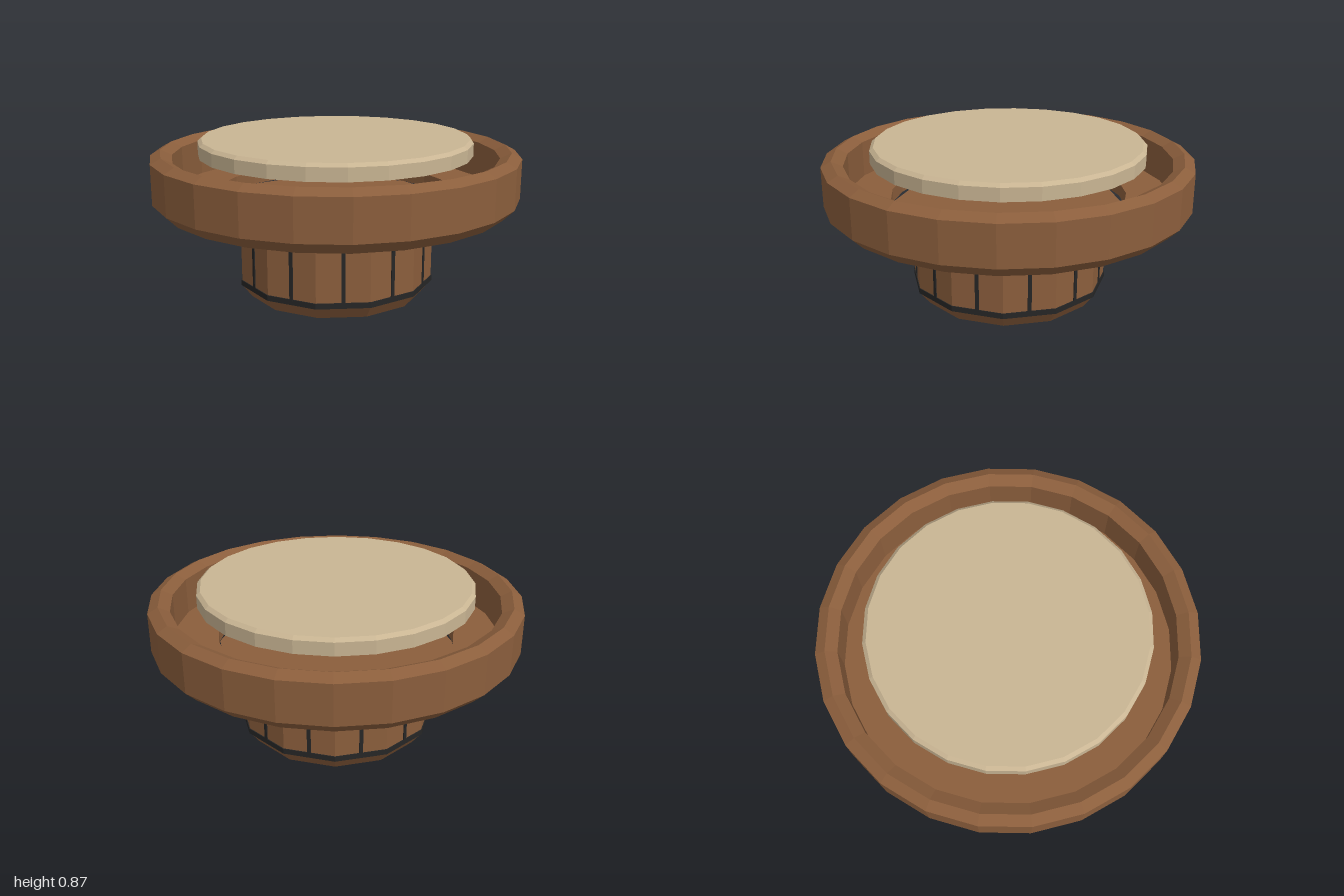
import * as THREE from 'three';

const paint = (color) => new THREE.MeshStandardMaterial({ color, flatShading: true });
const wood = paint(0x8b5e3c);
const tan = paint(0xc9b593);
const black = paint(0x262626);

// Faceted turned part: profile of [radius, height], outside running upwards
function turned(name, profile, sides, material, turn = 0) {
  const points = profile.map(([r, y]) => new THREE.Vector2(r, y));
  const mesh = new THREE.Mesh(new THREE.LatheGeometry(points, sides, turn, Math.PI * 2), material);
  mesh.name = name;
  return mesh;
}

export function createModel() {
  const group = new THREE.Group();
  group.name = 'roundPedestal';
  const half = Math.PI / 12; // turns the twelve-sided parts flat side to the front

  // Twelve-sided foot with bevelled base and flared neck
  group.add(turned('pedestal', [
    [0, 0], [0.487, 0], [0.54, 0.07], [0.54, 0.4], [0.645, 0.5], [0, 0.5],
  ], 12, wood, half));

  // Dark band round the base
  group.add(turned('baseBand', [
    [0.535, 0.07], [0.545, 0.07], [0.545, 0.1], [0.535, 0.1], [0.535, 0.07],
  ], 12, black, half));

  // Upright strips centred on the pedestal's flat sides
  const strips = new THREE.Group();
  strips.name = 'uprightStrips';
  for (let i = 0; i < 12; i++) {
    const a = (i * Math.PI) / 6;
    const strip = new THREE.Mesh(new THREE.BoxGeometry(0.02, 0.28, 0.02), black);
    strip.name = 'uprightStrip';
    strip.position.set(Math.sin(a) * 0.517, 0.23, Math.cos(a) * 0.517);
    strip.rotation.y = a;
    strips.add(strip);
  }
  group.add(strips);

  // Wide tray: bevelled rim, recessed floor and open centre
  group.add(turned('tray', [
    [0.645, 0.5], [0.94, 0.5], [1, 0.56], [1, 0.775], [0.945, 0.805],
    [0.885, 0.775], [0.885, 0.575], [0.645, 0.575], [0.645, 0.5],
  ], 24, wood));

  // Pale bevelled disc on top
  group.add(turned('topDisc', [
    [0, 0.78], [0.745, 0.78], [0.745, 0.85], [0.725, 0.867], [0, 0.867],
  ], 24, tan));

  return group;
}
